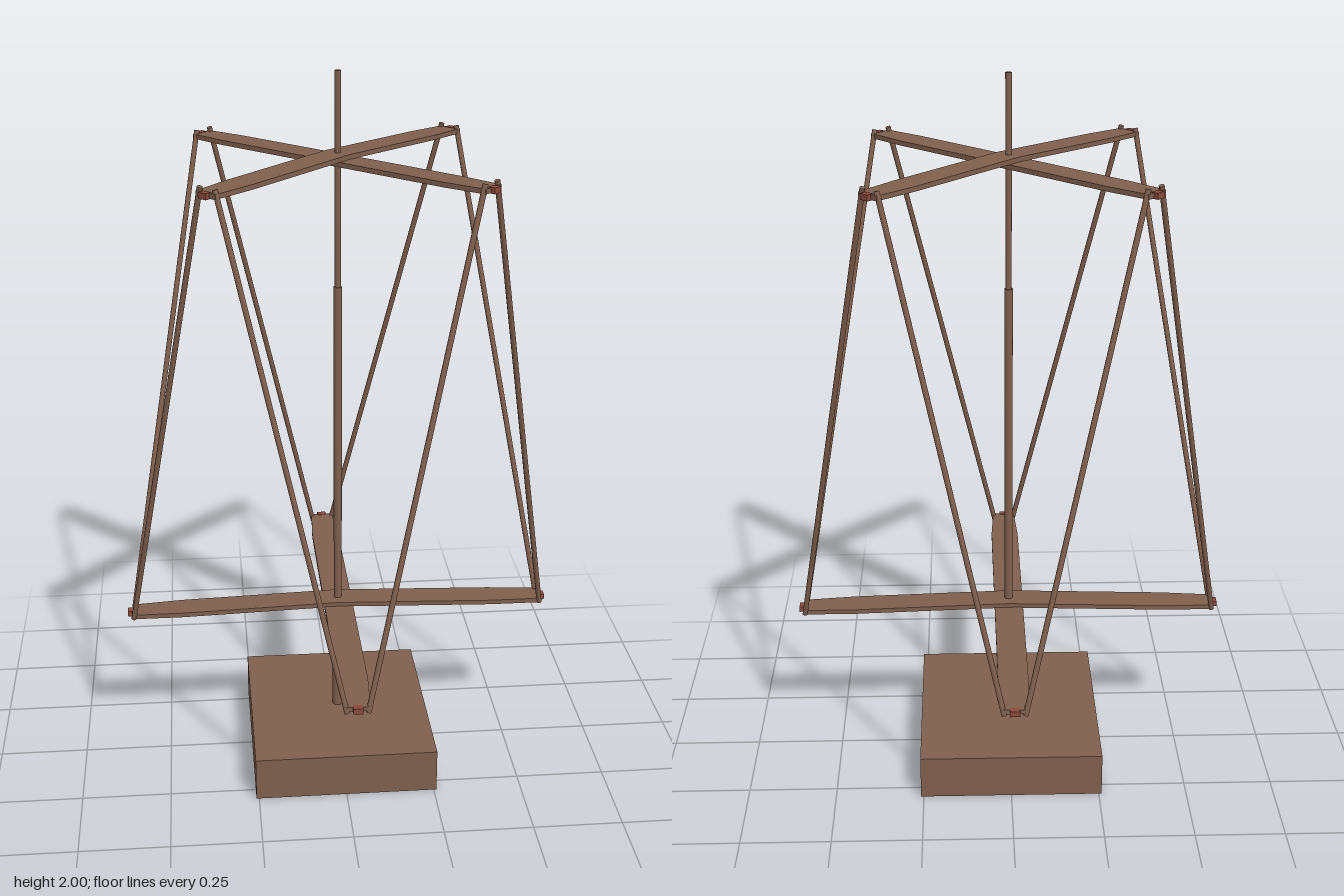
import * as THREE from 'three';

export function createModel() {
  const model = new THREE.Group();
  const wood = new THREE.MeshStandardMaterial({ color: 0x80604e, side: THREE.DoubleSide });
  wood.name = 'brown wood';
  const red = new THREE.MeshStandardMaterial({ color: 0x8a4b3c });
  red.name = 'reddish peg';

  const add = (name, geometry, material, parent = model) => {
    const mesh = new THREE.Mesh(geometry, material);
    mesh.name = name;
    parent.add(mesh);
    return mesh;
  };

  // Hollow base: a box whose bottom face is left out
  const base = new THREE.BoxGeometry(0.516, 0.125, 0.59);
  const faces = Array.from(base.index.array);
  faces.splice(18, 6);
  base.setIndex(faces);
  base.clearGroups();
  add('base', base, wood).position.y = 0.0625;

  // Stepped centre pole
  const pole = (name, radius, from, to) => {
    add(name, new THREE.CylinderGeometry(radius, radius, to - from, 16), wood).position.y = (from + to) / 2;
  };
  pole('lowerPole', 0.016, 0.115, 0.46);
  pole('middlePole', 0.0115, 0.46, 1.42);
  pole('upperPole', 0.0085, 1.42, 2);

  // Flat crossing arms; the upper one of each pair bows over the other
  const arm = (name, reach, y, bow, angle) => {
    const group = new THREE.Group();
    group.name = name;
    group.position.y = y;
    group.rotation.y = angle;
    model.add(group);
    const slat = new THREE.BoxGeometry(reach * 2, 0.013, 0.082, 8, 1, 1);
    const p = slat.attributes.position;
    for (let i = 0; i < p.count; i++) {
      const t = Math.abs(p.getX(i)) / reach;
      p.setY(i, p.getY(i) + bow * (1 - t));
      p.setZ(i, p.getZ(i) * (t > 0.99 ? 0.8 : 1));
    }
    slat.computeVertexNormals();
    add('slat', slat, wood, group);
    // End pegs
    for (const s of [-1, 1]) {
      add('endPeg', new THREE.BoxGeometry(0.02, 0.016, 0.026), red, group).position.x = s * (reach + 0.002);
    }
  };
  arm('lowerArmAlongZ', 0.595, 0.463, 0, Math.PI / 2);
  arm('lowerArmAlongX', 0.595, 0.457, 0.018, 0);
  arm('upperArmFlat', 0.498, 1.766, 0, -Math.PI / 4);
  arm('upperArmBowed', 0.498, 1.767, 0.013, Math.PI / 4);

  // Rods joining each lower arm tip to its two neighbouring upper tips
  const up = new THREE.Vector3(0, 1, 0);
  const tip = (angle, radius, offset, y) => new THREE.Vector3(
    radius * Math.cos(angle) - offset * Math.sin(angle), y,
    radius * Math.sin(angle) + offset * Math.cos(angle));
  for (let i = 0; i < 4; i++) {
    for (const s of [-1, 1]) {
      const a = i * Math.PI / 2;
      const low = tip(a, 0.59, s * 0.028, 0.45);
      const high = tip(a + s * Math.PI / 4, 0.49, -s * 0.025, 1.783);
      const dir = high.clone().sub(low);
      const rod = add('rod', new THREE.CylinderGeometry(0.0075, 0.0075, dir.length(), 10), wood);
      rod.position.copy(low).add(high).multiplyScalar(0.5);
      rod.quaternion.setFromUnitVectors(up, dir.normalize());
    }
  }
  return model;
}
